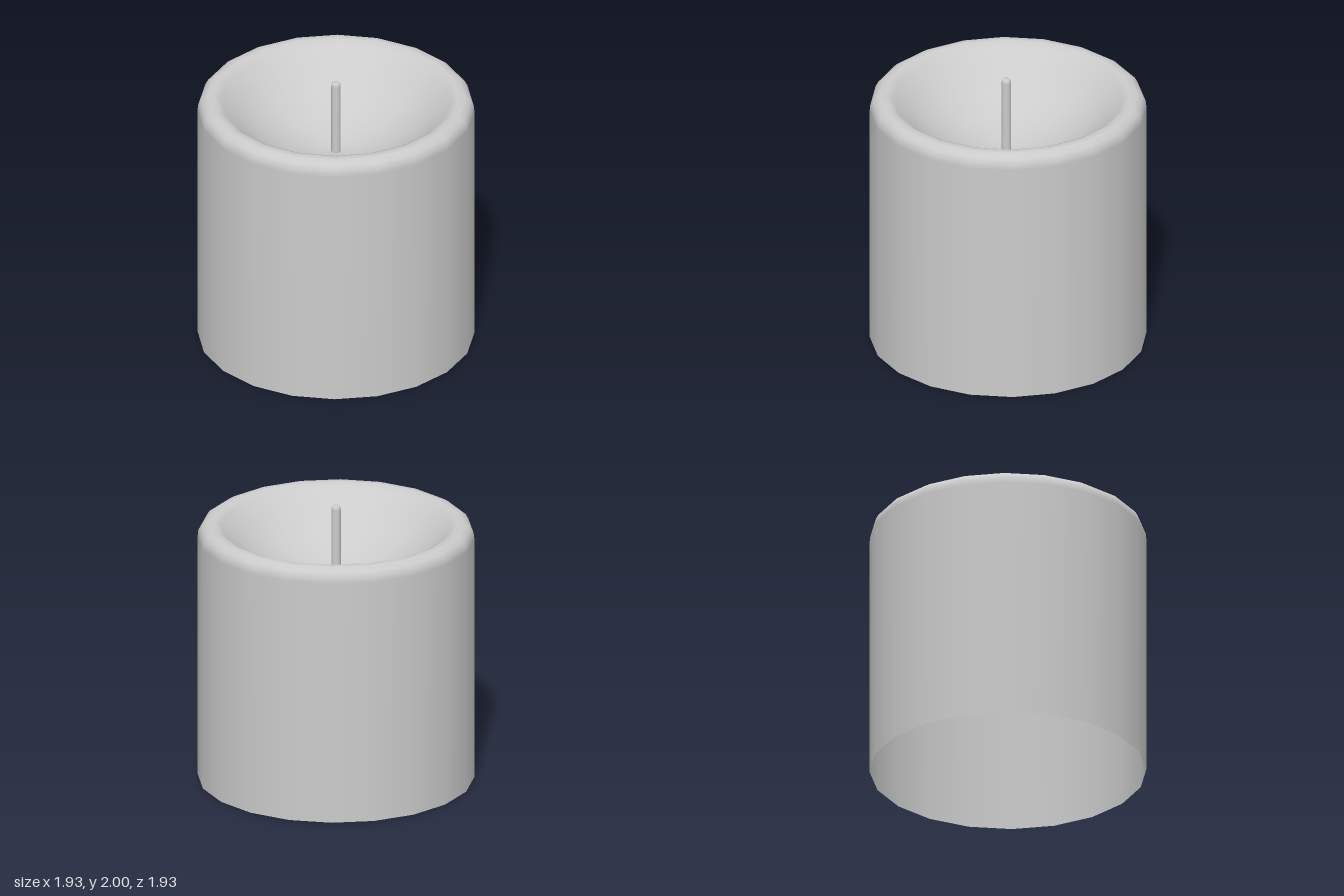
import * as THREE from 'three';

// Turns [radius, height] pairs into a smooth surface of revolution
function turned(name, profile, sides) {
  const points = profile.map(([r, y]) => new THREE.Vector2(r, y));
  const material = new THREE.MeshStandardMaterial({ color: 0xcccccc, side: THREE.DoubleSide });
  const mesh = new THREE.Mesh(new THREE.LatheGeometry(points, sides), material);
  mesh.name = name;
  return mesh;
}

export function createModel() {
  const candle = new THREE.Group();
  candle.name = 'candle';

  // Wax shell: open base, straight wall, rounded rim, hollow melted top
  candle.add(turned('waxBody', [
    [0.965, 0], [0.965, 1.77], [0.96, 1.81], [0.94, 1.845], [0.9, 1.87],
    [0.85, 1.872], [0.8, 1.85], [0.7, 1.75], [0.55, 1.63], [0.35, 1.52],
    [0.15, 1.46], [0, 1.445],
  ], 20));

  // Wick: thin rod with a softened tip, set into the hollow
  const wick = turned('wick', [
    [0.033, 1.42], [0.033, 1.97], [0.031, 1.985], [0.022, 1.998], [0, 2],
  ], 12);
  wick.position.z = 0.012;
  candle.add(wick);

  return candle;
}
